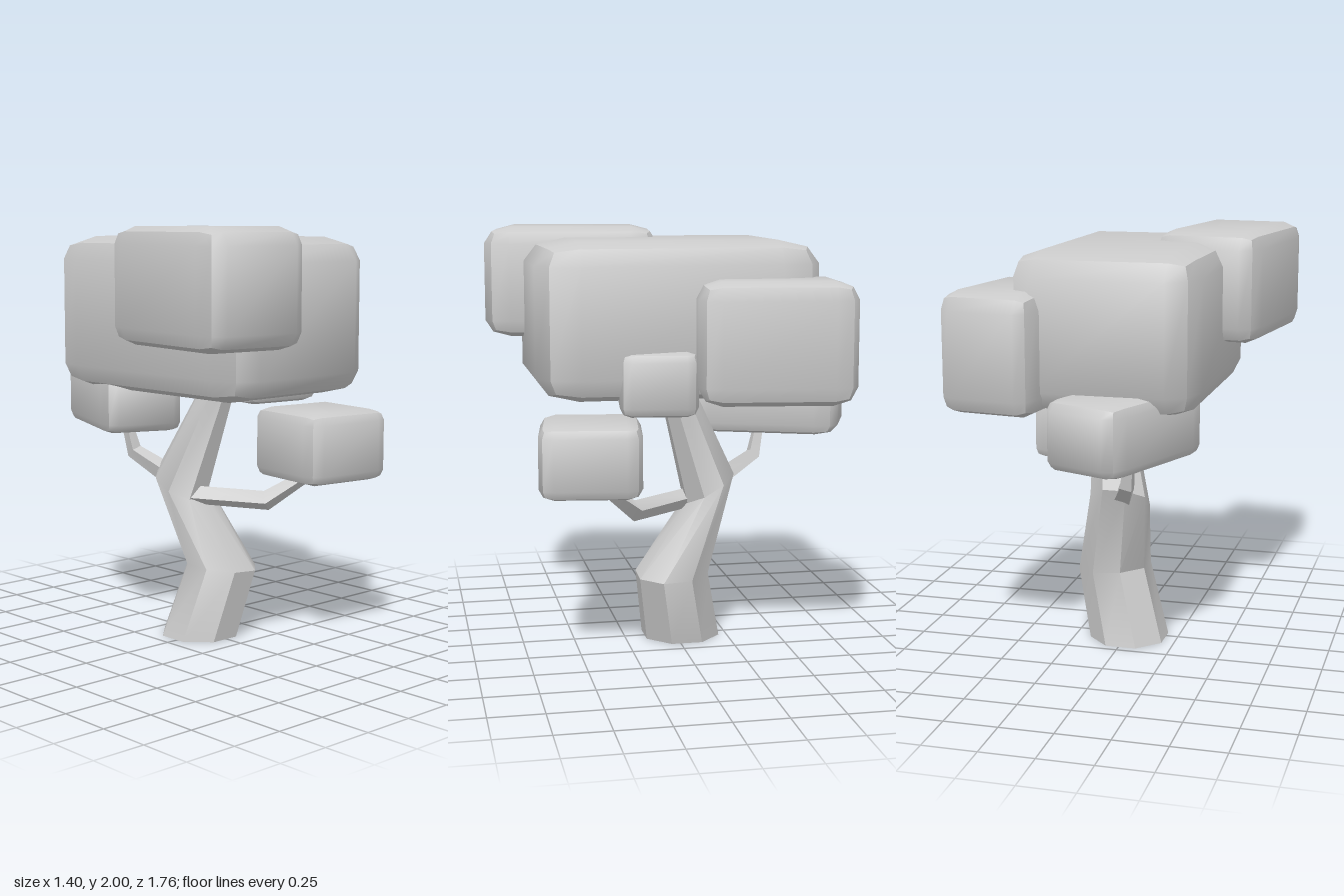
import * as THREE from 'three';
import { toCreasedNormals } from 'three/addons/utils/BufferGeometryUtils.js';
import { RoundedBoxGeometry } from 'three/addons/geometries/RoundedBoxGeometry.js';

const material = new THREE.MeshStandardMaterial({ color: 0xcccccc });
const CREASE = 0.6;

// Tapered, bent limb through points [x, y, z, radius]; ring planes face the
// given normals, or follow the path when none are given.
function limb(points, sides, normals) {
  const up = new THREE.Vector3(0, 1, 0);
  const centres = points.map(p => new THREE.Vector3(p[0], p[1], p[2]));
  const last = points.length - 1;
  const pos = [], idx = [];
  points.forEach((p, k) => {
    const n = normals
      ? new THREE.Vector3(...normals[k])
      : centres[Math.min(k + 1, last)].clone().sub(centres[Math.max(k - 1, 0)]);
    const q = new THREE.Quaternion().setFromUnitVectors(up, n.normalize());
    for (let i = 0; i < sides; i++) {
      const a = ((i + 0.5) / sides) * Math.PI * 2;
      const v = new THREE.Vector3(Math.cos(a), 0, Math.sin(a))
        .multiplyScalar(p[3]).applyQuaternion(q).add(centres[k]);
      pos.push(v.x, v.y, v.z);
    }
  });
  const top = last * sides;
  for (let i = 0; i < sides; i++) {
    const j = (i + 1) % sides;
    for (let k = 0; k < last; k++) {
      const a = k * sides, b = a + sides;
      idx.push(a + i, b + i, a + j, a + j, b + i, b + j);
    }
    // end caps as fans
    if (i > 0 && i < sides - 1) idx.push(0, i, j, top, top + j, top + i);
  }
  const g = new THREE.BufferGeometry();
  g.setAttribute('position', new THREE.Float32BufferAttribute(pos, 3));
  g.setIndex(idx);
  return toCreasedNormals(g, CREASE);
}

// Bevelled block of leaves, stretched to its half sizes
function leafBlock(hx, hy, hz) {
  const g = toCreasedNormals(new RoundedBoxGeometry(2, 2, 2, 1, 0.3), CREASE);
  return g.scale(hx, hy, hz);
}

export function createModel() {
  const tree = new THREE.Group();
  tree.name = 'tree';
  const add = (name, geometry) => {
    const mesh = new THREE.Mesh(geometry, material);
    mesh.name = name;
    tree.add(mesh);
    return mesh;
  };

  // Zigzag trunk
  add('trunk', limb(
    [[-0.01, 0, -0.03, 0.195], [0.08, 0.34, 0.03, 0.18], [0, 0.74, -0.17, 0.145], [0.1, 1.3, 0.03, 0.075]],
    8,
    [[0, 1, 0], [0.08, 1, 0.05], [0, 1, 0.6], [0, 1, 0.2]]
  ));

  // Side branches
  add('frontBranch', limb(
    [[-0.05, 0.69, -0.14, 0.048], [0.19, 0.675, 0.23, 0.05], [0.37, 0.85, 0.43, 0.025]], 4));
  add('backBranch', limb(
    [[-0.02, 0.75, -0.19, 0.055], [-0.1, 0.875, -0.42, 0.04], [-0.125, 1.05, -0.46, 0.025]], 4));

  // Foliage: name, centre, half sizes, turn about y
  const blocks = [
    ['mainFoliage', [-0.015, 1.585, 0.035], [0.435, 0.365, 0.665], 0],
    ['upperRightFoliage', [-0.405, 1.735, 0.44], [0.257, 0.265, 0.419], -0.14],
    ['upperLeftFoliage', [0.44, 1.5, -0.38], [0.225, 0.28, 0.36], -0.13],
    ['backFoliage', [-0.11, 1.165, -0.49], [0.199, 0.165, 0.364], -0.38],
    ['lowerFrontFoliage', [0.325, 0.97, 0.455], [0.235, 0.17, 0.235], -0.14],
    ['innerFoliage', [0.26, 1.305, 0.13], [0.21, 0.15, 0.18], -0.13],
  ];
  for (const [name, centre, half, turn] of blocks) {
    const block = add(name, leafBlock(...half));
    block.position.set(...centre);
    block.rotation.y = turn;
  }
  return tree;
}
